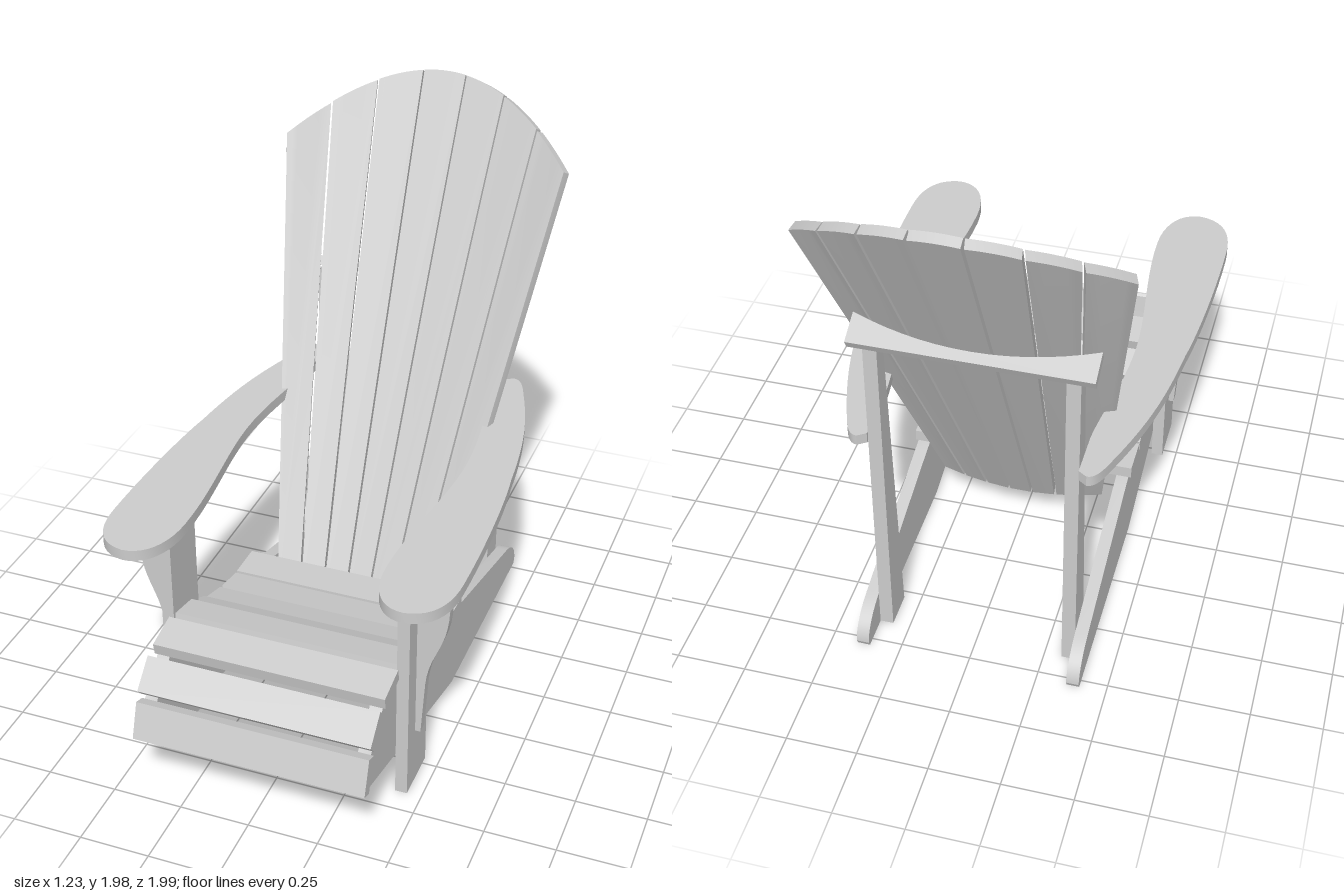
import * as THREE from 'three';
import { toCreasedNormals } from 'three/addons/utils/BufferGeometryUtils.js';

const material = new THREE.MeshStandardMaterial({ color: 0xcccccc });
const V = (x, y) => new THREE.Vector2(x, y);

function add(parent, geometry, name) {
  const mesh = new THREE.Mesh(toCreasedNormals(geometry, 0.5), material);
  mesh.name = name;
  parent.add(mesh);
  return mesh;
}

const extrude = (shape, depth) =>
  new THREE.ExtrudeGeometry(shape, { depth, bevelEnabled: false, curveSegments: 10 });

// Outline drawn in (z, y), running from x0 to x1
function sidePanel(shape, x0, x1) {
  return extrude(shape, x1 - x0).rotateY(-Math.PI / 2).translate(x1, 0, 0);
}

// Outline drawn in (x, z), with its upper face at the given height
function plank(shape, thickness, top) {
  return extrude(shape, thickness).rotateX(Math.PI / 2).translate(0, top, 0);
}

// Backrest fan: half width grows with height, the curve bows forward, the top is an arc
const BOW = 0.42;
const halfWidth = (s) => 0.31 + 0.137 * s;
const topAt = (x) => 2.03 - 1.08 * x * x;

function backSlat(i) {
  const gap = 0.005, thickness = 0.035;
  const edge = (k, s) => (halfWidth(s) * k) / 3.5;
  const left = (s) => edge(i - 0.5, s) + gap, right = (s) => edge(i + 0.5, s) - gap;
  const points = [V(left(0), 0), V(right(0), 0)];
  for (let j = 0; j <= 8; j++) {
    let s = 1.9, x = 0;
    for (let n = 0; n < 12; n++) {
      x = THREE.MathUtils.lerp(right(s), left(s), j / 8);
      s = topAt(x);
    }
    points.push(V(x, s));
  }
  const geometry = extrude(new THREE.Shape(points), thickness);
  // Lay the flat slat on the chord of the bowed section
  const p = geometry.attributes.position;
  for (let k = 0; k < p.count; k++) {
    const x = p.getX(k), s = p.getY(k), d = p.getZ(k);
    const a = left(s), b = right(s);
    const tilt = Math.atan(BOW * (a + b));
    p.setX(k, x - Math.sin(tilt) * d);
    p.setZ(k, BOW * (a * a + (x - a) * (a + b)) + Math.cos(tilt) * d);
  }
  return geometry;
}

export function createModel() {
  const chair = new THREE.Group();
  chair.name = 'slattedGardenChair';

  // Backrest with its bowed support rail
  const backrest = new THREE.Group();
  backrest.name = 'backrest';
  backrest.position.set(0, 0.17, -0.045);
  backrest.rotation.x = -0.487;
  chair.add(backrest);
  for (let i = -3; i <= 3; i++) add(backrest, backSlat(i), 'backSlat');

  const railPoints = [V(-0.41, -0.038), V(0.41, -0.038)];
  for (let j = 0; j <= 14; j++) {
    const x = 0.41 - (0.82 * j) / 14;
    railPoints.push(V(x, BOW * x * x));
  }
  add(backrest, plank(new THREE.Shape(railPoints), 0.036, 1.292), 'backRail');

  // Seat slats: upper face from (z, y) front to (z, y) back
  const seat = new THREE.Group();
  seat.name = 'seat';
  chair.add(seat);
  const slats = [
    [0.998, 0.25, 0.955, 0.375], [0.943, 0.411, 0.852, 0.496],
    [0.81, 0.512, 0.68, 0.537], [0.65, 0.535, 0.525, 0.508],
    [0.51, 0.485, 0.403, 0.435], [0.393, 0.421, 0.27, 0.384],
    [0.25, 0.378, 0.13, 0.354], [0.12, 0.356, -0.02, 0.354],
  ];
  for (const [z0, y0, z1, y1] of slats) {
    const length = Math.hypot(z1 - z0, y1 - y0);
    const geometry = new THREE.BoxGeometry(0.83, 0.045, length).translate(0, -0.0225, 0);
    const slat = add(seat, geometry, 'seatSlat');
    slat.position.set(0, (y0 + y1) / 2, (z0 + z1) / 2);
    slat.rotation.x = Math.atan2(y1 - y0, z0 - z1);
  }

  // Side rail: curved seat support sloping down to a rounded rear foot
  const rail = new THREE.Shape();
  rail.moveTo(0.955, 0.24);
  for (const [z, y] of [[0.91, 0.36], [0.81, 0.456], [0.8, 0.468], [0.672, 0.493], [0.64, 0.488],
    [0.52, 0.462], [0.39, 0.392], [0.26, 0.34], [0.13, 0.312], [-0.02, 0.309], [-0.07, 0.298],
    [-0.66, 0.14]]) rail.lineTo(z, y);
  rail.bezierCurveTo(-0.74, 0.12, -0.79, 0.07, -0.79, 0.02);
  rail.lineTo(-0.78, 0);
  rail.lineTo(0.035, 0);

  // Rear post, tapering towards the top
  const post = new THREE.Shape([V(-0.53, 0), V(-0.66, 0), V(-0.66, 1.262), V(-0.6, 1.29)]);

  for (const side of [1, -1]) {
    const group = new THREE.Group();
    group.name = side > 0 ? 'leftSide' : 'rightSide';
    chair.add(group);
    const span = (a, b) => (side > 0 ? [a, b] : [-b, -a]);

    add(group, sidePanel(rail, ...span(0.36, 0.405)), 'sideRail');
    add(group, sidePanel(post, ...span(0.312, 0.36)), 'rearPost');
    const leg = new THREE.BoxGeometry(0.043, 0.87, 0.195);
    add(group, leg.translate(side * 0.4265, 0.435, 0.5675), 'frontLeg');

    // Curved bracket under the arm
    const bracket = new THREE.Shape();
    bracket.moveTo(side * 0.445, 0.22);
    bracket.lineTo(side * 0.467, 0.22);
    bracket.lineTo(side * 0.48, 0.43);
    bracket.bezierCurveTo(side * 0.49, 0.55, side * 0.545, 0.59, side * 0.556, 0.71);
    bracket.lineTo(side * 0.567, 0.87);
    bracket.lineTo(side * 0.445, 0.87);
    add(group, extrude(bracket, 0.04).translate(0, 0, 0.55), 'armBracket');

    // Paddle-shaped armrest narrowing to the rear post
    const arm = new THREE.Shape();
    arm.moveTo(side * 0.36, -0.67);
    arm.lineTo(side * 0.36, -0.5);
    arm.bezierCurveTo(side * 0.37, -0.35, side * 0.41, -0.2, side * 0.408, 0);
    arm.bezierCurveTo(side * 0.405, 0.2, side * 0.352, 0.42, side * 0.354, 0.64);
    arm.bezierCurveTo(side * 0.356, 0.78, side * 0.41, 0.85, side * 0.485, 0.85);
    arm.bezierCurveTo(side * 0.57, 0.84, side * 0.615, 0.77, side * 0.616, 0.64);
    arm.bezierCurveTo(side * 0.62, 0.4, side * 0.6, 0.1, side * 0.583, 0);
    arm.bezierCurveTo(side * 0.565, -0.2, side * 0.54, -0.35, side * 0.475, -0.54);
    arm.bezierCurveTo(side * 0.445, -0.62, side * 0.43, -0.69, side * 0.39, -0.69);
    add(group, plank(arm, 0.04, 0.908), 'armrest');
  }
  return chair;
}
